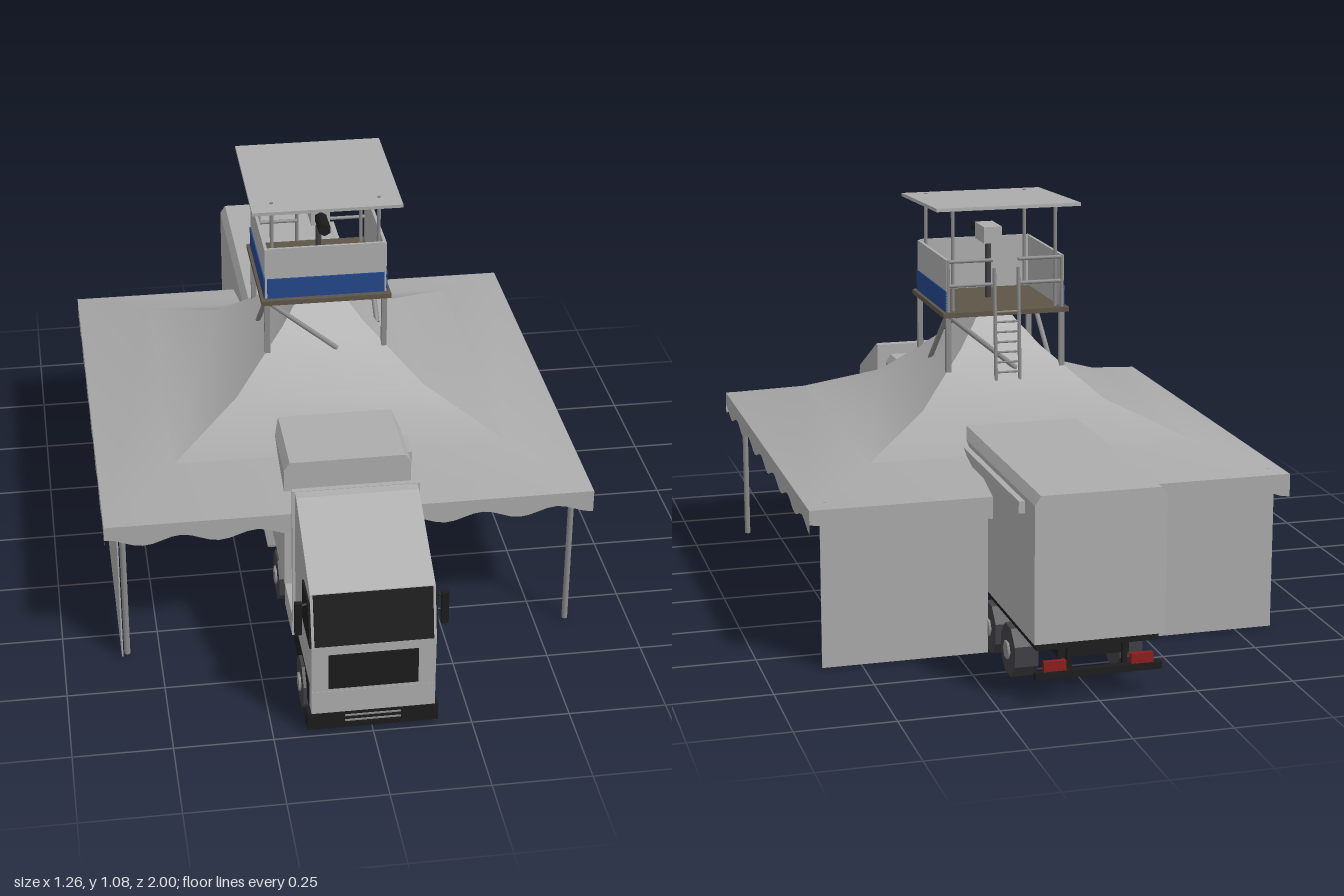
import * as THREE from 'three';
import { toCreasedNormals } from 'three/addons/utils/BufferGeometryUtils.js';

const mat = (name, color, side = THREE.FrontSide) => {
  const m = new THREE.MeshStandardMaterial({ color, side });
  m.name = name;
  return m;
};

export function createModel() {
  const root = new THREE.Group();
  root.name = 'truckTentAndTower';
  const grey = mat('paintedGrey', 0xacacac);
  const canvas = mat('tentCanvas', 0xa9a9a9, THREE.DoubleSide);
  const steel = mat('steel', 0x8a8a8a);
  const black = mat('black', 0x1c1c1c);
  const tyre = mat('tyreGrey', 0x404045);
  const blue = mat('blue', 0x23478a);
  const brown = mat('deckBrown', 0x5e5548);
  const red = mat('red', 0x8c1c1c);

  const group = (name) => {
    const g = new THREE.Group();
    g.name = name;
    root.add(g);
    return g;
  };
  const add = (parent, name, geo, material) => {
    const m = new THREE.Mesh(geo, material);
    m.name = name;
    parent.add(m);
    return m;
  };
  // Box given by its limits on each axis
  const box = (p, name, m, x0, x1, y0, y1, z0, z1) => {
    const b = add(p, name, new THREE.BoxGeometry(x1 - x0, y1 - y0, z1 - z0), m);
    b.position.set((x0 + x1) / 2, (y0 + y1) / 2, (z0 + z1) / 2);
    return b;
  };
  // Round bar between two points
  const bar = (p, name, m, a, b, r = 0.007, sides = 8) => {
    const A = new THREE.Vector3(...a), B = new THREE.Vector3(...b);
    const c = add(p, name, new THREE.CylinderGeometry(r, r, A.distanceTo(B), sides), m);
    c.position.copy(A).add(B).multiplyScalar(0.5);
    c.quaternion.setFromUnitVectors(new THREE.Vector3(0, 1, 0), B.sub(A).normalize());
    return c;
  };
  // Side outline of [z, y] points, extruded across x
  const sideExtrude = (p, name, m, pts, x0, x1) => {
    const s = new THREE.Shape(pts.map(([z, y]) => new THREE.Vector2(z, y)));
    const g = new THREE.ExtrudeGeometry(s, { depth: x1 - x0, bevelEnabled: false });
    g.rotateY(-Math.PI / 2).translate(x1, 0, 0);
    return add(p, name, g, m);
  };
  const wheel = (p, side, z) => {
    const g = new THREE.CylinderGeometry(0.068, 0.068, 0.06, 8).rotateZ(Math.PI / 2);
    g.rotateX(Math.PI / 8);
    const w = add(p, 'wheel', toCreasedNormals(g, 0.3), tyre);
    w.position.set(side * 0.135, 0.066, z);
    const h = add(p, 'hub', new THREE.CylinderGeometry(0.024, 0.024, 0.008, 6).rotateZ(Math.PI / 2), steel);
    h.position.set(side * 0.167, 0.066, z);
  };

  // Tractor cab
  const cab = group('tractor');
  sideExtrude(cab, 'cabShell', grey,
    [[0.695, 0.13], [0.995, 0.13], [0.998, 0.265], [0.965, 0.4], [0.72, 0.523], [0.695, 0.525]], -0.155, 0.155);
  box(cab, 'cabFrontSkirt', grey, -0.155, 0.155, 0.065, 0.13, 0.96, 0.996);
  box(cab, 'cabBase', black, -0.157, 0.157, 0.065, 0.13, 0.69, 0.96);
  box(cab, 'bumper', black, -0.165, 0.165, 0.012, 0.06, 0.955, 0.99);
  for (const y of [0.032, 0.047]) box(cab, 'bumperSlit', steel, -0.07, 0.07, y, y + 0.004, 0.985, 0.993);
  sideExtrude(cab, 'windscreen', black, [[0.994, 0.267], [1.0, 0.267], [0.97, 0.398], [0.962, 0.398]], -0.148, 0.148);
  box(cab, 'grille', black, -0.113, 0.111, 0.14, 0.24, 0.994, 1.0);
  box(cab, 'cabRearFairing', grey, -0.162, 0.162, 0.13, 0.526, 0.68, 0.695);
  for (const s of [-1, 1]) {
    sideExtrude(cab, 'sideWindow', black, [[0.86, 0.262], [0.995, 0.262], [0.968, 0.375], [0.86, 0.375]],
      s * 0.157 - 0.003, s * 0.157 + 0.003);
    box(cab, 'mirror', black, s * 0.182 - 0.009, s * 0.182 + 0.009, 0.28, 0.37, 0.945, 0.96);
    bar(cab, 'mirrorArm', black, [s * 0.15, 0.36, 0.94], [s * 0.18, 0.36, 0.952], 0.004, 6);
    box(cab, 'fuelTank', grey, s * 0.13 - 0.03, s * 0.13 + 0.03, 0.07, 0.135, 0.52, 0.665);
    box(cab, 'mudguard', black, s * 0.13 - 0.03, s * 0.13 + 0.03, 0.135, 0.145, 0.29, 0.46);
    wheel(cab, s, 0.86);
    wheel(cab, s, 0.375);
  }
  box(cab, 'tractorChassis', black, -0.07, 0.07, 0.08, 0.135, 0.22, 0.96);
  box(cab, 'couplingPlate', black, -0.1, 0.1, 0.135, 0.158, 0.28, 0.47);

  // Trailer body with bevelled roof edges
  const trailer = group('trailer');
  const section = new THREE.Shape([[-0.165, 0.157], [0.165, 0.157], [0.165, 0.502], [0.15, 0.525], [-0.15, 0.525], [-0.165, 0.502]]
    .map((q) => new THREE.Vector2(...q)));
  add(trailer, 'trailerBody', new THREE.ExtrudeGeometry(section, { depth: 1.555, bevelEnabled: false }).translate(0, 0, -1), grey);
  box(trailer, 'awningCase', grey, 0.164, 0.18, 0.46, 0.49, -0.915, 0.485);
  box(trailer, 'trailerChassis', black, -0.09, 0.09, 0.1, 0.157, -0.95, 0.28);
  box(trailer, 'rearUnderside', black, -0.155, 0.155, 0.135, 0.157, -0.98, -0.48);
  box(trailer, 'rearBumper', black, -0.16, 0.16, 0.065, 0.083, -0.995, -0.978);
  for (const s of [-1, 1]) {
    box(trailer, 'bumperBracket', black, s * 0.07 - 0.006, s * 0.07 + 0.006, 0.07, 0.157, -0.978, -0.965);
    box(trailer, 'tailLight', red, s * 0.11 - 0.028, s * 0.11 + 0.028, 0.083, 0.108, -0.992, -0.978);
    wheel(trailer, s, -0.595);
    wheel(trailer, s, -0.77);
    box(trailer, 'toolLocker', tyre, s * 0.125 - 0.035, s * 0.125 + 0.035, 0.055, 0.157, -0.33, 0.11);
    box(trailer, 'landingLeg', steel, s * 0.11 - 0.01, s * 0.11 + 0.01, 0.02, 0.157, 0.225, 0.245);
    box(trailer, 'sideLightStrip', red, s * 0.202 - 0.012, s * 0.202 + 0.012, 0.358, 0.378, -0.04, 0.19);
    box(trailer, 'stripBracket', black, s * 0.178 - 0.014, s * 0.178 + 0.014, 0.366, 0.374, 0.06, 0.08);
  }

  // Cart and ground plate under the trailer
  const cart = group('cart');
  box(cart, 'groundPlate', steel, -0.16, 0.14, 0, 0.006, -0.11, 0.14);
  for (const z of [0.2, -0.17]) {
    const t = add(cart, 'cartWheel', new THREE.TorusGeometry(0.037, 0.009, 6, 14).rotateY(Math.PI / 2), black);
    t.position.set(-0.06, 0.047, z);
  }
  bar(cart, 'cartFrame', black, [-0.06, 0.047, 0.2], [-0.06, 0.075, 0.0], 0.008);
  bar(cart, 'cartFrame', black, [-0.06, 0.047, -0.17], [-0.06, 0.075, 0.0], 0.008);

  // Screen on a pole beside the trailer
  const screen = group('screenStand');
  bar(screen, 'screenPole', tyre, [0.21, 0, 0.11], [0.21, 0.4, 0.11], 0.007);
  box(screen, 'screenPanel', black, 0.205, 0.214, 0.355, 0.44, 0.11, 0.19);

  // Tent: four-sided flared roof
  const tent = group('tent');
  const profile = [[0.632, 0.42], [0.435, 0.475], [0.25, 0.555], [0.11, 0.682], [0.025, 0.785]]
    .map(([d, y]) => new THREE.Vector2(d * Math.SQRT2, y));
  const roof = new THREE.LatheGeometry(profile, 4, Math.PI / 4);
  add(tent, 'tentRoof', toCreasedNormals(roof, 0.5), canvas);
  // Scalloped valance along each eave
  const hem = new THREE.Shape();
  hem.moveTo(-0.632, 0.421);
  for (let i = 0; i <= 52; i++) {
    const x = -0.632 + (1.264 * i) / 52;
    hem.lineTo(x, 0.372 + 0.012 * Math.cos((i / 52) * Math.PI * 13));
  }
  hem.lineTo(0.632, 0.421);
  for (let k = 0; k < 4; k++) {
    add(tent, 'valance', new THREE.ShapeGeometry(hem).translate(0, 0, 0.632).rotateY((k * Math.PI) / 2), canvas);
  }
  for (const x of [-0.585, 0.585]) for (const z of [-0.59, 0.585]) bar(tent, 'tentPost', steel, [x, 0, z], [x, 0.43, z], 0.008);
  box(tent, 'sideWall', canvas, -0.6, -0.596, 0, 0.42, -0.6, 0.6);
  for (const s of [-1, 1]) {
    const a = s * 0.6, b = s * 0.17;
    box(tent, 'backWall', canvas, Math.min(a, b), Math.max(a, b), 0, 0.42, -0.602, -0.598);
  }

  // Watchtower deck, legs and braces
  const tower = group('watchtower');
  box(tower, 'deck', brown, -0.173, 0.173, 0.782, 0.795, -0.173, 0.178);
  for (const x of [-0.157, 0.157]) for (const z of [-0.157, 0.157]) {
    box(tower, 'towerLeg', steel, x - 0.007, x + 0.007, 0.63, 0.785, z - 0.007, z + 0.007);
    bar(tower, 'roofPost', steel, [x * 0.9, 0.795, z * 0.94], [x * 0.9, 1.067, z * 0.94], 0.005);
  }
  for (const s of [-1, 1]) {
    bar(tower, 'brace', steel, [-s * 0.155, 0.785, s * 0.16], [s * 0.03, 0.633, s * 0.16], 0.007);
    bar(tower, 'brace', steel, [s * 0.16, 0.785, -s * 0.155], [s * 0.16, 0.633, s * 0.03], 0.007);
    // Side parapets with blue band
    box(tower, 'sideParapet', grey, s * 0.158 - 0.004, s * 0.158 + 0.004, 0.795, 0.935, -0.16, 0.16);
    box(tower, 'sideBand', blue, s * 0.163 - 0.002, s * 0.163 + 0.002, 0.796, 0.852, -0.16, 0.16);
  }
  box(tower, 'frontParapet', grey, -0.156, 0.156, 0.795, 0.938, 0.152, 0.16);
  box(tower, 'frontBand', blue, -0.156, 0.156, 0.796, 0.852, 0.16, 0.164);
  // Back rails and ladder
  for (const y of [0.865, 0.93]) {
    bar(tower, 'backRail', steel, [-0.157, y, -0.157], [-0.035, y, -0.157], 0.005);
    bar(tower, 'backRail', steel, [0.035, y, -0.157], [0.157, y, -0.157], 0.005);
  }
  for (const s of [-1, 1]) {
    bar(tower, 'railPost', steel, [s * 0.157, 0.795, -0.157], [s * 0.157, 0.935, -0.157], 0.005);
    bar(tower, 'ladderRail', steel, [s * 0.033, 0.91, -0.168], [s * 0.033, 0.6, -0.187], 0.005);
  }
  for (let i = 0; i < 7; i++) {
    const y = 0.63 + i * 0.027, z = -0.185 + i * 0.0017;
    bar(tower, 'ladderRung', steel, [-0.033, y, z], [0.033, y, z], 0.003, 6);
  }
  // Tilted roof sheet
  const sheet = box(tower, 'roofSheet', grey, -0.197, 0.197, 1.062, 1.071, -0.197, 0.197);
  sheet.rotation.x = 0.045;

  // Searchlight on a stand
  const lamp = group('searchlight');
  bar(lamp, 'lampStand', tyre, [0, 0.795, 0.015], [0, 0.955, 0.015], 0.008);
  box(lamp, 'lampHousing', grey, -0.025, 0.025, 0.952, 0.997, -0.037, 0.06);
  bar(lamp, 'lampBarrel', black, [0, 0.973, 0.055], [0, 0.973, 0.138], 0.017, 6);
  return root;
}
